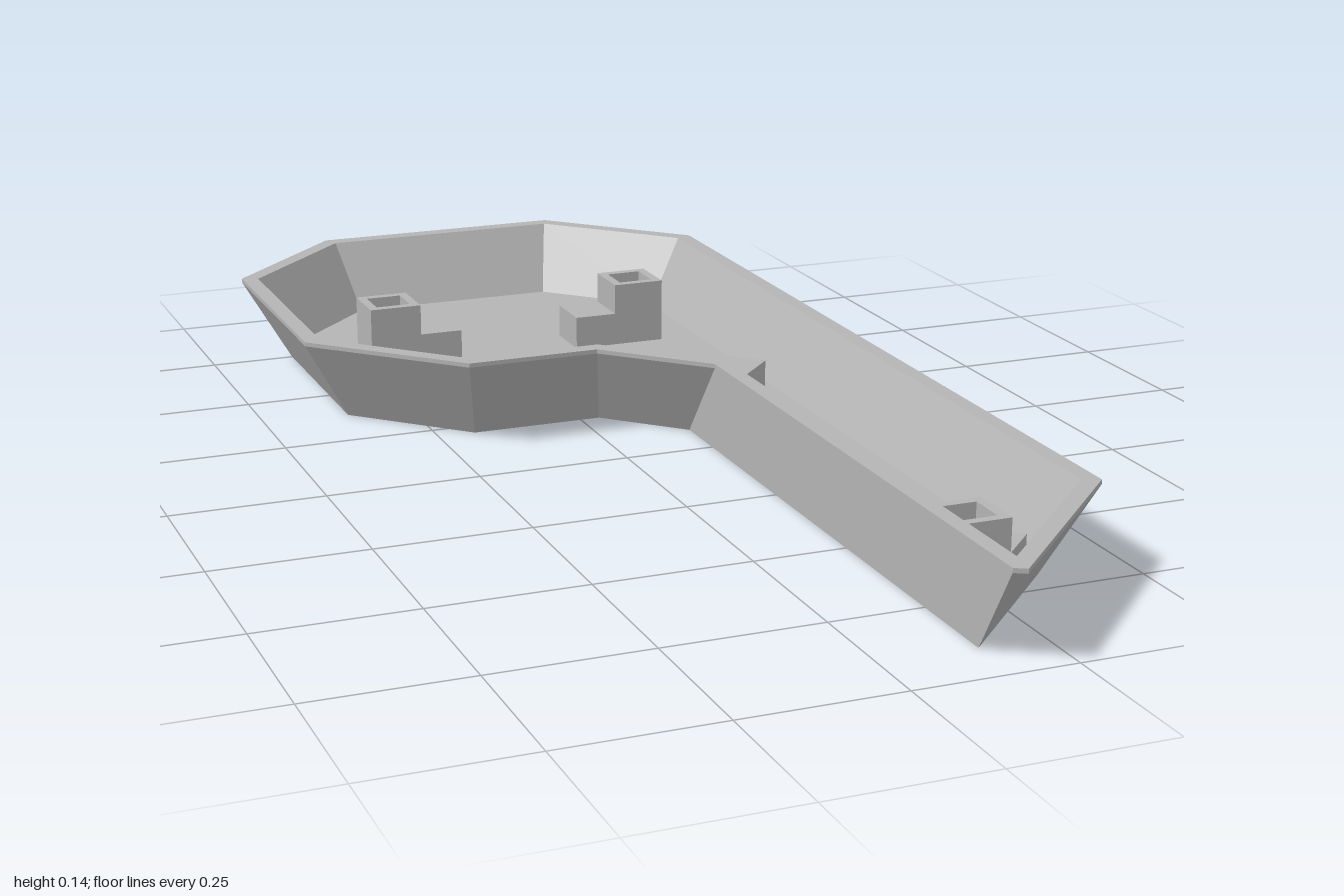
import * as THREE from 'three';

const gray = new THREE.MeshStandardMaterial({ color: 0xb4b4b4 });
gray.name = 'plain gray';

const RIM = 0.145, LIP = 0.138, FLOOR = 0.028;
const HANDLE_EDGE = 4; // the upright wall on the inner side of the handle

// Rim outline as [x, z], clockwise seen from above
const outline = [
  [-0.22, -1], [0.22, -1], [0.435, -0.785], [0.435, 0.73], [0.147, 1.018],
  [0.147, 0.012], [0, -0.135], [-0.22, -0.135], [-0.435, -0.35], [-0.435, -0.785],
];

// Move every edge inwards by d, the handle's upright edge by its own amount
function inset(d, handleD) {
  const n = outline.length;
  const edges = outline.map(([x, z], i) => {
    const [x2, z2] = outline[(i + 1) % n];
    const len = Math.hypot(x2 - x, z2 - z);
    return { nx: -(z2 - z) / len, nz: (x2 - x) / len, d: i === HANDLE_EDGE ? handleD : d };
  });
  return outline.map(([x, z], i) => {
    const a = edges[(i + n - 1) % n], b = edges[i];
    const det = a.nx * b.nz - a.nz * b.nx;
    return [x + (a.d * b.nz - b.d * a.nz) / det, z + (a.nx * b.d - b.nx * a.d) / det];
  });
}

// Flat-faced walls running through the cross-section loops
function walls(loops) {
  const pos = [];
  for (let k = 0; k < loops.length - 1; k++) {
    const [lo, hi] = [loops[k], loops[k + 1]];
    const n = lo.pts.length;
    for (let i = 0; i < n; i++) {
      const j = (i + 1) % n;
      const v = (l, m) => [l.pts[m][0], l.y, l.pts[m][1]];
      const [a, b, c, d] = [v(lo, i), v(lo, j), v(hi, j), v(hi, i)];
      pos.push(...a, ...d, ...c, ...a, ...c, ...b);
    }
  }
  const g = new THREE.BufferGeometry();
  g.setAttribute('position', new THREE.Float32BufferAttribute(pos, 3));
  g.computeVertexNormals();
  return g;
}

const shapeOf = (pts) => new THREE.Shape(pts.map(([x, y]) => new THREE.Vector2(x, y)));

function square(size, x = 0, z = 0, turn = 0) {
  const r = size / Math.SQRT2;
  return [1, 3, 5, 7].map((q) => {
    const t = q * Math.PI / 4 + turn;
    return [x + r * Math.cos(t), z + r * Math.sin(t)];
  });
}

// Square tube standing between two heights
function squareTube(outer, hole, y0, y1) {
  const s = shapeOf(square(outer));
  s.holes.push(shapeOf(square(hole)));
  const g = new THREE.ExtrudeGeometry(s, { depth: y1 - y0, bevelEnabled: false });
  return g.rotateX(-Math.PI / 2).translate(0, y0, 0);
}

export function createModel() {
  const model = new THREE.Group();
  model.name = 'tray';
  const add = (parent, name, geometry) => {
    const m = new THREE.Mesh(geometry, gray);
    m.name = name;
    parent.add(m);
    return m;
  };

  // Tray shell: doubled tip vertex lets the rim's sharp tip be cut off
  const doubleTip = (pts) => [...pts.slice(0, 5), pts[4], ...pts.slice(5)];
  const rim = doubleTip(outline);
  rim[4] = [0.165, 1.0];
  rim[5] = [0.147, 0.99];
  const base = inset(0.078, 0.002);
  const floor = inset(0.093, 0.026);
  add(model, 'trayWalls', walls([
    { y: 0, pts: doubleTip(base) },
    { y: LIP, pts: rim },
    { y: RIM, pts: rim },
    { y: RIM, pts: doubleTip(inset(0.027, 0.026)) },
    { y: FLOOR, pts: doubleTip(floor) },
  ]));
  const floorShape = shapeOf(floor.map(([x, z]) => [x, -z]));
  add(model, 'trayFloor', new THREE.ShapeGeometry(floorShape).rotateX(-Math.PI / 2).translate(0, FLOOR, 0));

  // Blocks that are hollow from below
  const pockets = [
    [-0.153, -0.567, 0], [0.153, -0.567, 0],
    [0.25, -0.158, Math.PI / 4], [0.245, 0.745, Math.PI / 4],
  ];
  const baseShape = shapeOf(base);
  for (const [x, z, turn] of pockets) {
    baseShape.holes.push(shapeOf(square(0.06, x, z, turn)));
    const block = new THREE.Group();
    block.name = 'pocketBlock';
    block.position.set(x, 0, z);
    block.rotation.y = turn;
    add(block, 'blockSides', squareTube(0.09, 0.06, 0.001, 0.085));
    add(block, 'blockTop', new THREE.BoxGeometry(0.06, 0.015, 0.06).translate(0, 0.0775, 0));
    model.add(block);
  }
  add(model, 'trayUnderside', new THREE.ShapeGeometry(baseShape).rotateX(Math.PI / 2));

  // Tall posts with a square socket on top
  for (const [x, z] of [[-0.227, -0.567], [0.227, -0.567], [0.205, 0.76]]) {
    add(model, 'socketPost', squareTube(0.09, 0.06, FLOOR - 0.005, 0.138)).position.set(x, 0, z);
  }
  return model;
}
